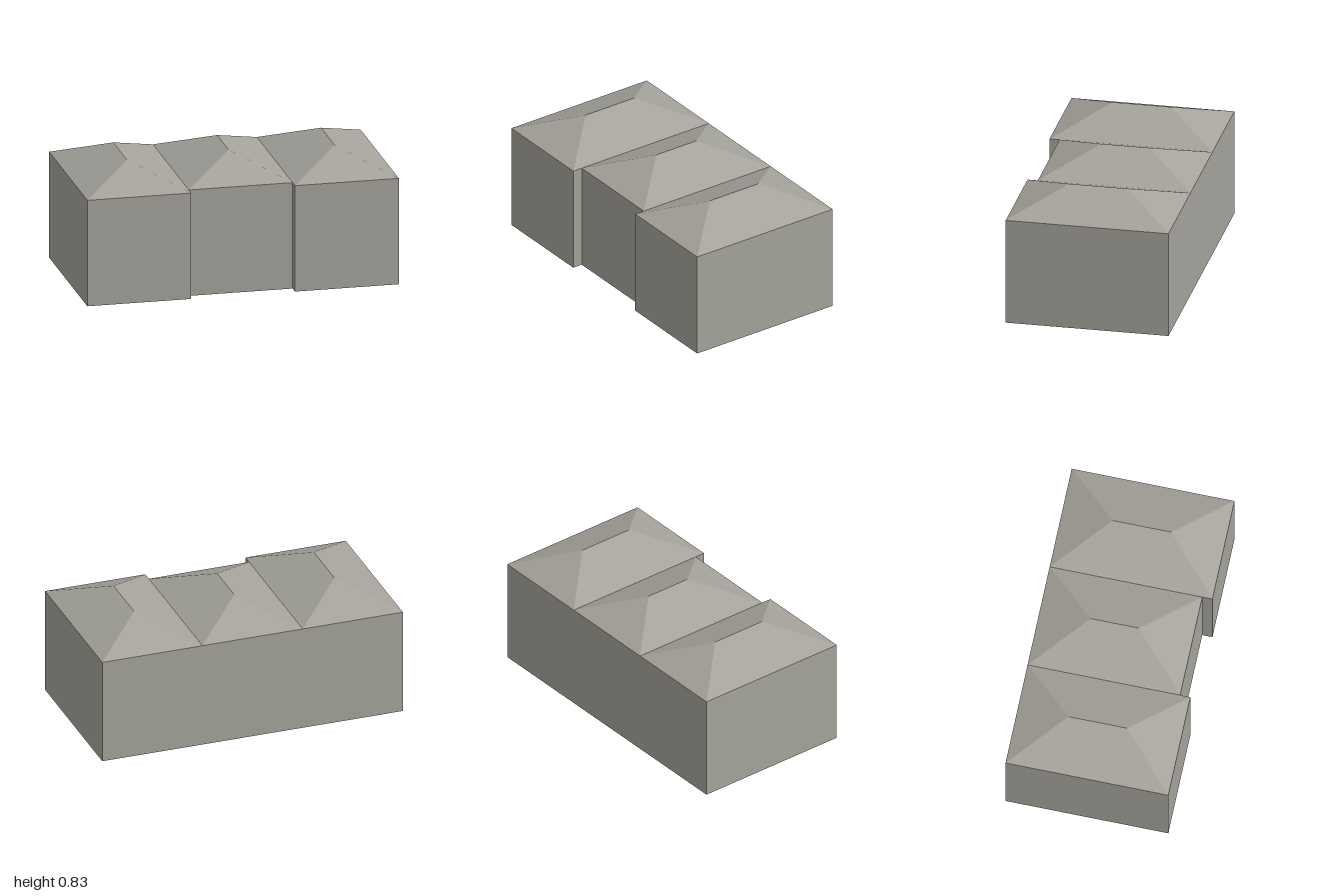
import * as THREE from 'three';

const EAVE = 0.694, RIDGE = 0.833, HALF = 1 / 3, BACK = -0.52;
const FRONT = [0.52, 0.455, 0.52]; // front wall depth of each bay, the middle one set back

// Flat-shaded surface from convex polygons, corners counter-clockwise from outside
function facets(name, polygons, material) {
  const points = [];
  for (const p of polygons)
    for (let i = 1; i < p.length - 1; i++) points.push(...p[0], ...p[i], ...p[i + 1]);
  const geometry = new THREE.BufferGeometry();
  geometry.setAttribute('position', new THREE.Float32BufferAttribute(points, 3));
  geometry.computeVertexNormals();
  const mesh = new THREE.Mesh(geometry, material);
  mesh.name = name;
  return mesh;
}

// Hipped roof over one bay, ridge running front to back
function hipRoof(name, x, front, material) {
  const l = x - HALF, r = x + HALF;
  const bl = [l, EAVE, BACK], br = [r, EAVE, BACK];
  const fl = [l, EAVE, front], fr = [r, EAVE, front];
  const rb = [x, RIDGE, BACK + HALF], rf = [x, RIDGE, front - HALF];
  return facets(name, [[fl, fr, rf], [fr, br, rb, rf], [br, bl, rb], [bl, fl, rf, rb]], material);
}

export function createModel() {
  const model = new THREE.Group();
  model.name = 'terraceBuilding';
  const stone = new THREE.MeshStandardMaterial({ color: 0xa5a39b });
  stone.name = 'warmGrey';
  stone.side = THREE.DoubleSide; // hollow shell, open underneath

  // Outer walls follow the stepped footprint
  const footprint = [[-1, BACK]];
  FRONT.forEach((z, i) => footprint.push([-1 + i * 2 * HALF, z], [-1 + (i + 1) * 2 * HALF, z]));
  footprint.push([1, BACK]);
  const walls = footprint.map(([x0, z0], i) => {
    const [x1, z1] = footprint[(i + 1) % footprint.length];
    return [[x0, 0, z0], [x1, 0, z1], [x1, EAVE, z1], [x0, EAVE, z0]];
  });
  model.add(facets('walls', walls, stone));

  // One roof per bay
  ['rightRoof', 'middleRoof', 'leftRoof'].forEach((name, i) =>
    model.add(hipRoof(name, (i - 1) * 2 * HALF, FRONT[i], stone)));
  return model;
}
